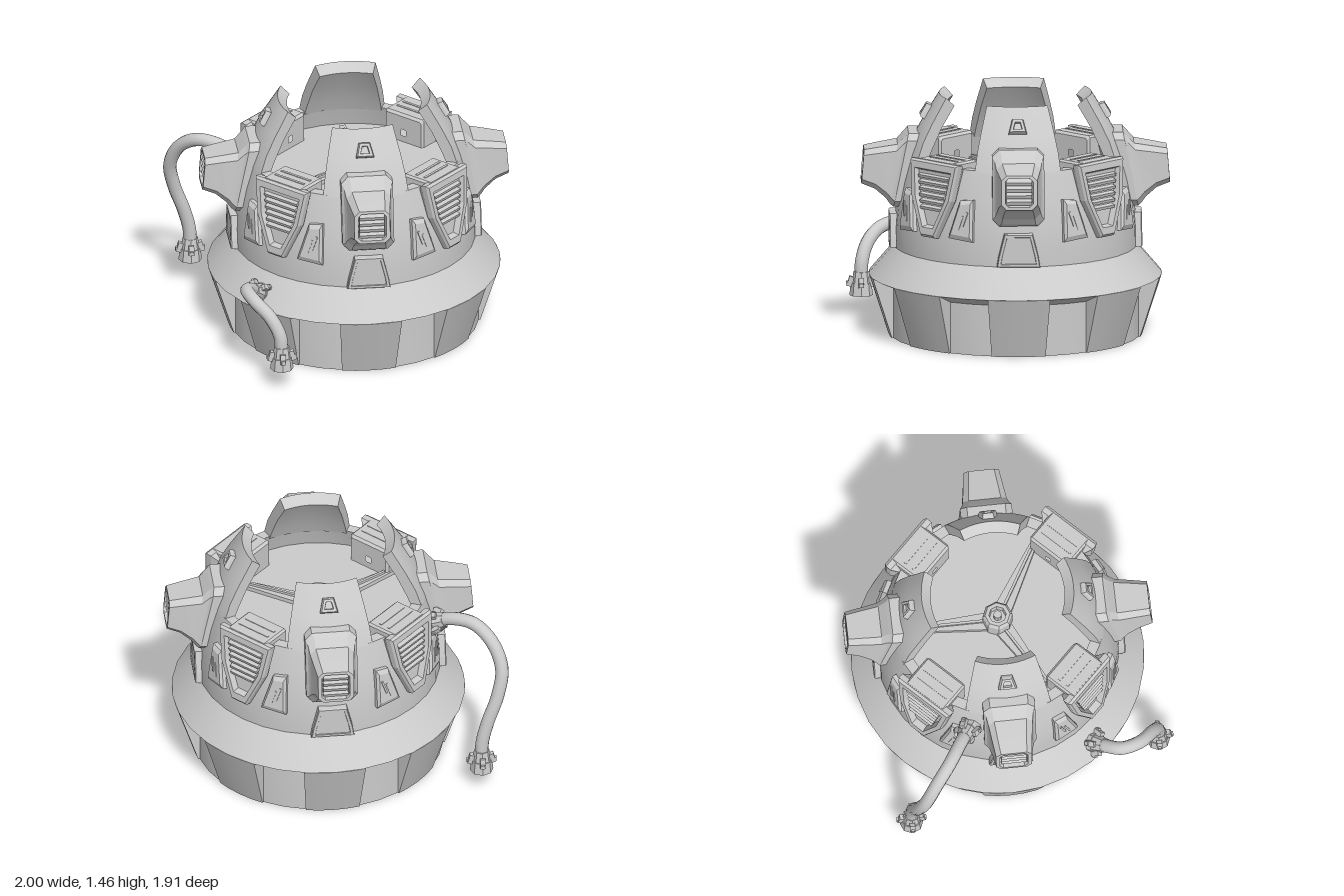
import * as THREE from 'three';
import { toCreasedNormals } from 'three/addons/utils/BufferGeometryUtils.js';

const grey = new THREE.MeshStandardMaterial({ color: 0xcccccc });
const flat = new THREE.MeshStandardMaterial({ color: 0xcccccc, flatShading: true });
const thin = new THREE.MeshStandardMaterial({ color: 0xcccccc, side: THREE.DoubleSide });
const deg = Math.PI / 180;

function add(parent, name, geo, mat = flat, pos = [0, 0, 0], rot = [0, 0, 0]) {
  const m = new THREE.Mesh(geo, mat);
  m.name = name;
  m.position.set(...pos);
  m.rotation.set(...rot);
  parent.add(m);
}

// Group turned about the axis: local z points outwards, local x is tangent
function spoke(parent, name, angle) {
  const g = new THREE.Group();
  g.name = name;
  g.rotation.y = angle * deg;
  parent.add(g);
  return g;
}

const lathe = (pts, segs, start = 0, length = Math.PI * 2) => toCreasedNormals(
  new THREE.LatheGeometry(pts.map(p => new THREE.Vector2(...p)), segs, start, length), 0.5);

// Part of a turned ring with closed ends; profile is [radius, y], anticlockwise
function sector(parent, name, profile, mid, half, segs) {
  const g = spoke(parent, name, mid);
  add(g, name + 'Body', lathe([...profile, profile[0]], segs, -half * deg, 2 * half * deg), grey);
  const cap = new THREE.ShapeGeometry(new THREE.Shape(profile.map(p => new THREE.Vector2(...p))));
  for (const s of [-1, 1]) add(g, name + 'End', cap, thin, [0, 0, 0], [0, s * half * deg - Math.PI / 2, 0]);
}

// Skin over rings of [x, y, z] points, capped at the last ring
function loft(rings) {
  const v = [], n = rings[0].length;
  for (let i = 0; i + 1 < rings.length; i++) {
    for (let j = 0; j < n; j++) {
      const k = (j + 1) % n, a = rings[i], b = rings[i + 1];
      v.push(...a[j], ...a[k], ...b[k], ...a[j], ...b[k], ...b[j]);
    }
  }
  const end = rings[rings.length - 1];
  for (let j = 1; j + 1 < n; j++) v.push(...end[0], ...end[j], ...end[j + 1]);
  const geo = new THREE.BufferGeometry();
  geo.setAttribute('position', new THREE.Float32BufferAttribute(v, 3));
  geo.computeVertexNormals();
  return geo;
}

// Plate from an anticlockwise outline, stepped through [scale, z] levels
const plate = (outline, steps) => loft(steps.map(([s, z]) => outline.map(([x, y]) => [x * s, y * s, z])));

// Chamfered rectangle whose bottom and top sit at different depths
function chamferRing([hw, y0, y1, zBottom, zTop, c]) {
  const pts = [[hw - c, y0], [hw, y0 + c], [hw, y1 - c], [hw - c, y1],
    [c - hw, y1], [-hw, y1 - c], [-hw, y0 + c], [c - hw, y0]];
  return pts.map(([x, y]) => [x, y, zBottom + (zTop - zBottom) * (y - y0) / (y1 - y0)]);
}

function addVent(parent, angle) {
  const g = spoke(parent, 'ventHousing', angle);
  add(g, 'ventShell', loft([
    [0.155, 0.79, 1.235, 0.64, 0.55, 0.04],
    [0.155, 0.79, 1.235, 0.73, 0.64, 0.04],
    [0.142, 0.805, 1.215, 0.75, 0.66, 0.04],
    [0.132, 0.84, 1.165, 0.775, 0.705, 0.035],
    [0.119, 0.895, 1.147, 0.84, 0.81, 0.032],
    [0.107, 0.925, 1.13, 0.92, 0.904, 0.03],
    [0.084, 0.943, 1.114, 0.92, 0.906, 0.02],
    [0.076, 0.95, 1.107, 0.85, 0.84, 0.02],
  ].map(chamferRing)));
  for (let i = 0; i < 4; i++) {
    add(g, 'ventSlat', new THREE.BoxGeometry(0.15, 0.022, 0.05), flat, [0, 0.97 + i * 0.039, 0.88], [0.35, 0, 0]);
  }
}

function addShield(parent, angle) {
  const g = spoke(parent, 'louvredShield', angle);
  add(g, 'shieldBlock', loft([
    [0.02, 1, 1.04, 0.48, 0.48, 0.005],
    [0.132, 0.95, 1.125, 0.48, 0.48, 0.01],
    [0.145, 0.94, 1.14, 0.495, 0.495, 0.012],
    [0.145, 0.94, 1.14, 0.69, 0.69, 0.012],
  ].map(chamferRing)));
  for (const z of [0.56, 0.62]) {
    add(g, 'shieldBlockRib', new THREE.BoxGeometry(0.22, 0.012, 0.016), flat, [0, 1.138, z]);
  }
  const face = new THREE.Group();
  face.name = 'shieldFace';
  face.position.set(0, 0.92, 0.725);
  face.rotation.x = -0.13;
  g.add(face);
  const outline = [[0.055, -0.235], [0.16, 0], [0.195, 0.22], [-0.195, 0.22], [-0.16, 0], [-0.055, -0.235]];
  add(face, 'shieldFrame', plate(outline, [[0.74, -0.1], [1, -0.035], [1, 0], [0.94, 0.015], [0.76, 0.015], [0.7, -0.025]]));
  for (let i = 0; i < 6; i++) {
    const y = -0.06 + i * 0.037;
    add(face, 'shieldSlat', new THREE.BoxGeometry(0.17 + i * 0.015, 0.018, 0.03), flat, [0, y, -0.012], [0.4, 0, 0]);
  }
}

// Ribbed plug at a cable end, pointing along dir
function addPlug(parent, name, pos, dir) {
  const g = new THREE.Group();
  g.name = name;
  g.position.set(...pos);
  g.quaternion.setFromUnitVectors(new THREE.Vector3(0, -1, 0), new THREE.Vector3(...dir).normalize());
  parent.add(g);
  add(g, 'plugBody', new THREE.CylinderGeometry(0.062, 0.07, 0.075, 8), flat, [0, -0.03, 0]);
  add(g, 'plugCollar', new THREE.CylinderGeometry(0.046, 0.056, 0.07, 8), flat, [0, 0.04, 0]);
  for (let i = 0; i < 4; i++) {
    const lug = spoke(g, 'plugLug', i * 90);
    add(lug, 'plugLugBar', new THREE.BoxGeometry(0.032, 0.06, 0.04), flat, [0, 0.015, 0.058], [-0.25, 0, 0]);
    add(lug, 'plugLugTip', new THREE.BoxGeometry(0.022, 0.025, 0.025), flat, [0, 0.005, 0.077]);
  }
}

function addCable(parent, name, points) {
  const curve = new THREE.CatmullRomCurve3(points.map(p => new THREE.Vector3(...p)));
  add(parent, name, new THREE.TubeGeometry(curve, 48, 0.04, 12), grey);
  addPlug(parent, name + 'Socket', points[0], curve.getTangent(0).negate().toArray());
  addPlug(parent, name + 'Plug', points[points.length - 1], [0, -1, 0]);
}

export function createModel() {
  const model = new THREE.Group();
  model.name = 'domedHousing';
  const body = new THREE.Group();
  body.name = 'dome';
  body.position.set(0.078, 0, -0.04);
  model.add(body);

  // Thin hollow wall: recessed skirt, sloping ring and lower dome
  add(body, 'wall', lathe([
    [0.738, 0], [0.748, 0], [0.748, 0.31], [0.875, 0.365], [0.725, 0.54], [0.724, 0.66], [0.71, 0.8],
    [0.682, 0.95], [0.642, 1.1], [0.58, 1.1], [0.63, 0.95], [0.685, 0.75], [0.71, 0.54], [0.738, 0.3], [0.738, 0],
  ], 32), grey);

  // Skirt blocks outside, shallow panels inside
  for (let i = 0; i < 8; i++) {
    sector(body, 'skirtBlock', [[0.742, 0], [0.757, 0], [0.874, 0.364], [0.742, 0.364]], i * 45, 12.3, 4);
    sector(body, 'innerPanel', [[0.726, 0.003], [0.742, 0.003], [0.742, 0.3], [0.726, 0.3]], i * 45 + 22.5, 11, 4);
  }

  // Floor with raised central hub and three tapering ribs
  add(body, 'floor', new THREE.CylinderGeometry(0.63, 0.63, 0.03, 32), grey, [0, 0.945, 0]);
  add(body, 'hub', lathe([[0.09, 0.955], [0.09, 1.06], [0.075, 1.08], [0.052, 1.08], [0.048, 1.04], [0, 1.04]], 8), flat);
  add(body, 'hubPin', new THREE.CylinderGeometry(0.025, 0.025, 0.05, 8), flat, [0, 1.06, 0]);
  add(body, 'hubUnderside', new THREE.CylinderGeometry(0.1, 0.07, 0.11, 8), flat, [0, 0.875, 0]);
  for (const angle of [-60, 60, 180]) {
    const g = spoke(body, 'floorRib', angle);
    add(g, 'floorRibBase', plate([[-0.018, -0.56], [0.018, -0.56], [0.055, -0.05], [-0.055, -0.05]],
      [[1, 0], [1, 0.035]]), flat, [0, 0.95, 0], [-Math.PI / 2, 0, 0]);
    add(g, 'floorRibCrest', new THREE.BoxGeometry(0.016, 0.03, 0.42), flat, [0, 0.985, 0.28]);
  }

  for (let i = 0; i < 4; i++) {
    const angle = i * 90;
    // Curved upright petal with its badge
    sector(body, 'petal', [[0.58, 1.08], [0.644, 1.09], [0.606, 1.2], [0.547, 1.31], [0.455, 1.46],
      [0.4, 1.41], [0.485, 1.28], [0.55, 1.15]], angle, 23.5, 10);
    const g = spoke(body, 'petalDetails', angle);
    add(g, 'badge', plate([[0.055, -0.045], [0.033, 0.045], [-0.033, 0.045], [-0.055, -0.045]],
      [[1, -0.03], [1, 0.015], [0.85, 0.03], [0.5, 0.03], [0.45, 0.015]]), flat, [0, 1.35, 0.525], [-0.54, 0, 0]);
    // Trapezoid plate above the ring
    add(g, 'footPlate', plate([[0.13, -0.1], [0.12, -0.04], [0.085, 0.1], [-0.085, 0.1], [-0.12, -0.04], [-0.13, -0.1]],
      [[1, -0.06], [1, 0.012], [0.96, 0.018], [0.82, 0.018], [0.8, 0.012]]), flat, [0, 0.643, 0.736]);
    addVent(body, angle);
    addShield(body, angle + 45);
    // Slanted plates either side of each shield
    for (const s of [-1, 1]) {
      const p = spoke(body, 'sidePlate', angle + s * 27);
      let outline = [[0.09, -0.115], [0.025, 0.115], [-0.06, 0.125], [-0.07, -0.13]];
      if (s < 0) outline = outline.map(([x, y]) => [-x, y]).reverse();
      add(p, 'sidePlateBody', plate(outline, [[1, -0.06], [1, 0.02], [0.78, 0.035]]), flat, [0, 0.81, 0.706], [-0.13, 0, 0]);
      for (const k of [0, 1]) {
        add(p, 'sidePlateSlash', new THREE.BoxGeometry(0.012, 0.09, 0.012), flat,
          [s * (k * 0.03 - 0.02), 0.82 - k * 0.025, 0.741], [-0.13, 0, s * 0.3]);
      }
    }
  }

  // Hanging cables
  addCable(model, 'frontCable', [[-0.56, 0.44, 0.48], [-0.615, 0.5, 0.55], [-0.645, 0.53, 0.63], [-0.61, 0.51, 0.74],
    [-0.53, 0.44, 0.82], [-0.475, 0.33, 0.86], [-0.465, 0.19, 0.865]]);
  addCable(model, 'backCable', [[-0.59, 0.97, -0.29], [-0.68, 1.02, -0.34], [-0.81, 1.03, -0.42], [-0.91, 0.95, -0.51],
    [-0.96, 0.8, -0.58], [-0.93, 0.63, -0.62], [-0.87, 0.46, -0.64], [-0.835, 0.32, -0.65], [-0.83, 0.19, -0.655]]);
  return model;
}
